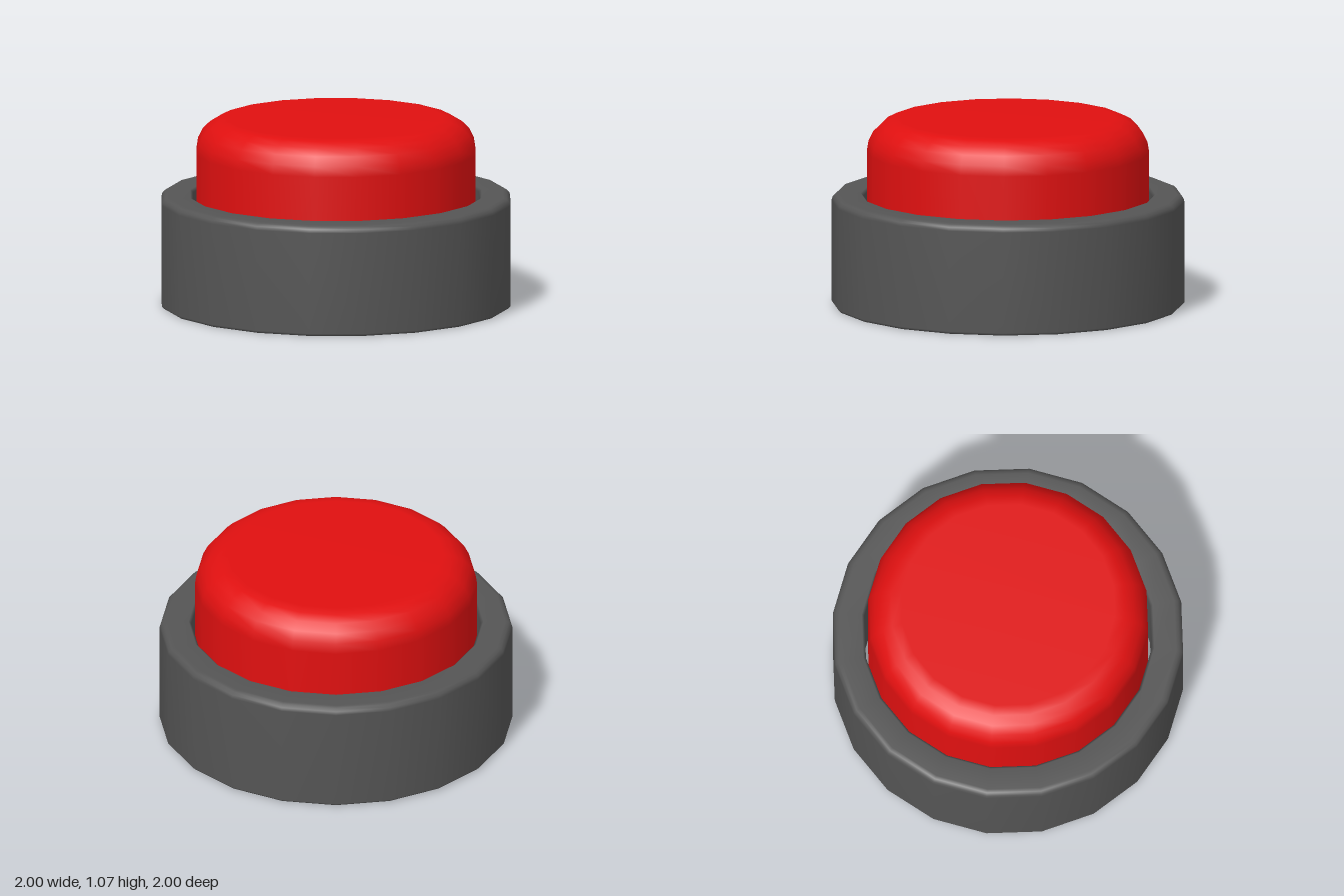
import * as THREE from 'three';

const SIDES = 20;

// Spins a profile of [radius, height] pairs around the y axis.
function turned(name, profile, color) {
  const points = profile.map(([r, y]) => new THREE.Vector2(r, y));
  const mesh = new THREE.Mesh(
    new THREE.LatheGeometry(points, SIDES),
    new THREE.MeshStandardMaterial({ color, side: THREE.DoubleSide })
  );
  mesh.name = name;
  return mesh;
}

// Quarter-round corner from angle a0 to a1 around (cr, cy).
function arc(cr, cy, radius, a0, a1, steps) {
  return Array.from({ length: steps + 1 }, (_, i) => {
    const a = a0 + ((a1 - a0) * i) / steps;
    return [cr + radius * Math.cos(a), cy + radius * Math.sin(a)];
  });
}

export function createModel() {
  const group = new THREE.Group();
  group.name = 'pushButton';
  const H = Math.PI / 2;

  // Housing: thick ring, open through the middle, with softened edges
  group.add(turned('housing', [
    [0.83, 0],
    [0.985, 0],
    [1, 0.015],
    ...arc(0.96, 0.595, 0.04, 0, H, 3),
    [0.835, 0.635],
    [0.82, 0.62],
    [0.82, 0.015],
    [0.83, 0],
  ], 0x555555));

  // Cap: hollow plunger with a rounded shoulder, open underneath
  group.add(turned('cap', [
    [0.8, 0.165],
    ...arc(0.61, 0.88, 0.19, 0, H, 5),
    [0, 1.07],
  ], 0xe01010));

  return group;
}
